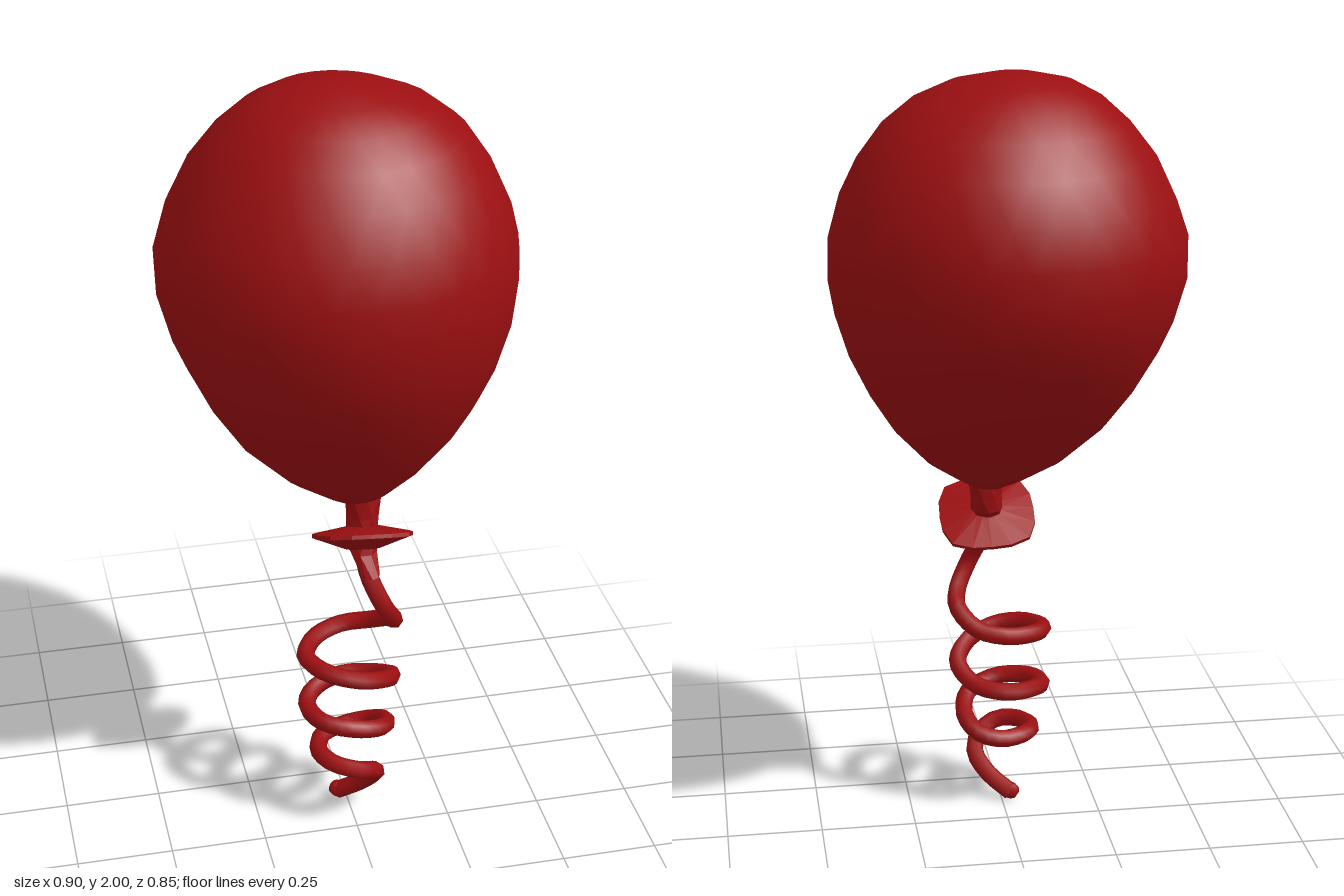
import * as THREE from 'three';

const red = new THREE.MeshStandardMaterial({ color: 0x9c0f11 });
red.name = 'balloon red';

// Joins elliptical rings [y, centreX, centreZ, radiusX, radiusZ], listed bottom to top, with closed ends
function loft(rings, sides, wobble = 0) {
  const pos = [], index = [];
  let seed = 7;
  const rand = () => (seed = (seed * 16807) % 2147483647) / 2147483647 - 0.5;
  rings.forEach(([y, cx, cz, rx, rz], j) => {
    for (let i = 0; i < sides; i++) {
      const a = ((i + (j % 2) * 0.5) / sides) * Math.PI * 2;
      const k = 1 + rand() * wobble;
      pos.push(cx + Math.sin(a) * rx * k, y, cz + Math.cos(a) * rz * k);
    }
  });
  for (let j = 0; j < rings.length - 1; j++) {
    for (let i = 0; i < sides; i++) {
      const n = (i + 1) % sides, lo = j * sides, hi = lo + sides;
      if (j % 2) index.push(lo + i, lo + n, hi + n, lo + i, hi + n, hi + i);
      else index.push(lo + i, lo + n, hi + i, lo + n, hi + n, hi + i);
    }
  }
  const last = rings.length - 1, base = last * sides;
  const bottom = pos.length / 3, top = bottom + 1;
  pos.push(rings[0][1], rings[0][0], rings[0][2]);
  pos.push(rings[last][1], rings[last][0], rings[last][2]);
  for (let i = 0; i < sides; i++) {
    const n = (i + 1) % sides;
    index.push(bottom, n, i, top, base + i, base + n);
  }
  const g = new THREE.BufferGeometry();
  g.setAttribute('position', new THREE.Float32BufferAttribute(pos, 3));
  g.setIndex(index);
  g.computeVertexNormals();
  return g;
}

// Gives every face its own normal
function faceted(geometry) {
  const g = geometry.index ? geometry.toNonIndexed() : geometry;
  g.computeVertexNormals();
  return g;
}

export function createModel() {
  const model = new THREE.Group();
  model.name = 'balloon';
  const add = (name, geometry) => {
    const mesh = new THREE.Mesh(geometry, red);
    mesh.name = name;
    model.add(mesh);
    return mesh;
  };

  // Inflated body, leaning slightly forward at the bottom
  add('body', loft([
    [0.915, 0.035, 0.09, 0.035, 0.03],
    [0.945, 0.03, 0.08, 0.09, 0.075],
    [1.0, 0.022, 0.067, 0.178, 0.13],
    [1.1, 0.015, 0.052, 0.277, 0.215],
    [1.2, 0.01, 0.038, 0.342, 0.29],
    [1.3, 0.008, 0.024, 0.39, 0.352],
    [1.4, 0.004, 0.012, 0.427, 0.398],
    [1.5, 0, 0.003, 0.446, 0.42],
    [1.6, 0, 0, 0.447, 0.422],
    [1.7, 0.002, -0.004, 0.418, 0.4],
    [1.8, 0.004, -0.006, 0.367, 0.35],
    [1.88, 0.004, -0.004, 0.308, 0.287],
    [1.94, 0, -0.002, 0.238, 0.22],
    [1.98, -0.01, 0, 0.155, 0.145],
    [2.0, -0.015, 0, 0.06, 0.06],
  ], 26, 0.012));

  // Pinched neck running through the knot to the ribbon
  add('neck', faceted(loft([
    [0.75, 0.045, 0.19, 0.024, 0.026],
    [0.8, 0.035, 0.145, 0.036, 0.036],
    [0.85, 0.04, 0.11, 0.042, 0.05],
    [0.89, 0.042, 0.105, 0.042, 0.05],
    [0.95, 0.045, 0.1, 0.05, 0.046],
  ], 8)));

  // Squarish flared lip of the knot, thin at the rim
  const lip = new THREE.LatheGeometry([
    new THREE.Vector2(0, -0.045), new THREE.Vector2(0.045, -0.035),
    new THREE.Vector2(0.124, -0.005), new THREE.Vector2(0.124, 0.005),
    new THREE.Vector2(0.045, 0.022), new THREE.Vector2(0, 0.03),
  ], 16);
  const p = lip.attributes.position;
  for (let i = 0; i < p.count; i++) {
    const x = p.getX(i), z = p.getZ(i), r = Math.hypot(x, z);
    if (r < 0.1) continue;
    const k = Math.pow((x / r) ** 4 + (z / r) ** 4, -0.2);
    p.setX(i, x * k);
    p.setZ(i, z * k);
  }
  const knot = add('knotLip', faceted(lip));
  knot.position.set(0.038, 0.83, 0.122);
  knot.rotation.set(-0.49, 0, -0.06);

  // Curled ribbon: a short lead, then a spiral of three turns
  const points = [
    [0.035, 0.82, 0.13], [0.04, 0.75, 0.185], [0.075, 0.665, 0.215],
    [0.11, 0.6, 0.18], [0.115, 0.565, 0.12], [0.07, 0.525, 0.06],
    [0, 0.51, 0.04], [-0.08, 0.5, 0.075], [-0.115, 0.49, 0.14],
    [-0.08, 0.482, 0.21], [0, 0.465, 0.24], [0.08, 0.435, 0.21],
    [0.115, 0.4, 0.14], [0.08, 0.365, 0.07], [0, 0.35, 0.04],
    [-0.08, 0.34, 0.075], [-0.112, 0.33, 0.14], [-0.08, 0.322, 0.21],
    [0, 0.31, 0.24], [0.075, 0.285, 0.21], [0.1, 0.255, 0.14],
    [0.07, 0.22, 0.08], [0.01, 0.203, 0.065], [-0.06, 0.2, 0.095],
    [-0.085, 0.195, 0.15], [-0.06, 0.19, 0.215], [0, 0.178, 0.242],
    [0.05, 0.15, 0.215], [0.066, 0.115, 0.18], [0.035, 0.065, 0.145],
    [-0.025, 0.018, 0.11],
  ].map((q) => new THREE.Vector3(...q));
  const path = new THREE.CatmullRomCurve3(points);
  add('ribbon', new THREE.TubeGeometry(path, 90, 0.024, 7));

  // Rounded ribbon tip
  const tip = add('ribbonTip', new THREE.SphereGeometry(0.023, 7, 5));
  tip.position.set(-0.025, 0.023, 0.11);

  return model;
}
